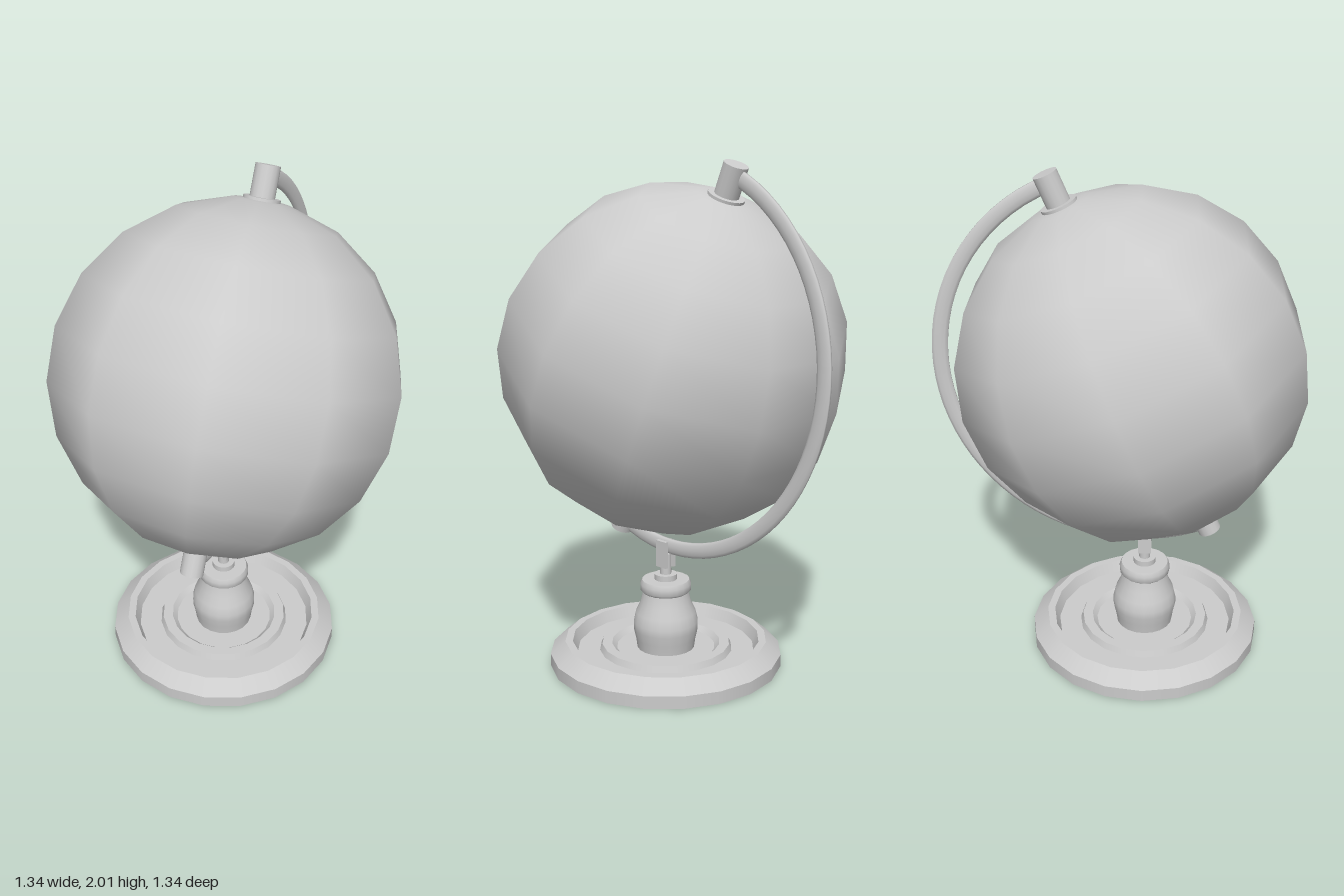
import * as THREE from 'three';

const mat = new THREE.MeshStandardMaterial({ color: 0xcccccc });
const rad = THREE.MathUtils.degToRad;

function add(parent, name, geometry, x = 0, y = 0, z = 0) {
  const mesh = new THREE.Mesh(geometry, mat);
  mesh.name = name;
  mesh.position.set(x, y, z);
  parent.add(mesh);
  return mesh;
}

// Lathe with crisp edges: each [r, y] run is smooth, a new run starts a hard edge
function turned(parent, name, runs, segments) {
  const group = new THREE.Group();
  group.name = name;
  runs.forEach((run, i) => {
    const pts = run.map(([r, y]) => new THREE.Vector2(r, y));
    add(group, `${name}Section${i + 1}`, new THREE.LatheGeometry(pts, segments));
  });
  parent.add(group);
  return group;
}

// Turns a polyline into one run per straight segment
const facets = (pts) => pts.slice(1).map((p, i) => [pts[i], p]);

export function createModel() {
  const model = new THREE.Group();
  model.name = 'deskGlobe';
  const heading = rad(62), tilt = rad(23);

  // Stand: dished foot, bulbous pedestal, neck and fork
  const stand = new THREE.Group();
  stand.name = 'stand';
  stand.position.set(-0.02, 0, 0.045);
  stand.rotation.y = heading;
  model.add(stand);

  turned(stand, 'foot', facets([
    [0, 0], [0.47, 0], [0.47, 0.05], [0.41, 0.1], [0.38, 0.1], [0.36, 0.055],
    [0.27, 0.055], [0.26, 0.08], [0.22, 0.08], [0.2, 0.06], [0.1, 0.06],
  ]), 20);

  turned(stand, 'pedestal', [
    [[0.115, 0.05], [0.122, 0.1], [0.131, 0.14], [0.131, 0.17], [0.122, 0.21], [0.103, 0.25], [0.093, 0.295]],
    [[0.093, 0.295], [0.103, 0.305], [0.104, 0.33], [0.096, 0.347]],
    [[0.096, 0.347], [0.046, 0.347]],
    [[0.046, 0.347], [0.046, 0.37]],
    [[0.046, 0.37], [0, 0.37]],
  ], 20);

  add(stand, 'neck', new THREE.CylinderGeometry(0.023, 0.023, 0.09, 12), 0, 0.41, 0);
  for (const side of [-1, 1])
    add(stand, 'forkProng', new THREE.BoxGeometry(0.054, 0.11, 0.016), 0, 0.455, side * 0.02);

  // Tilted assembly: local y is the spin axis, local x points to the arm
  const tilted = new THREE.Group();
  tilted.name = 'tiltedAssembly';
  tilted.position.y = 1.248;
  tilted.rotation.set(0, heading, -tilt);
  model.add(tilted);

  // Ball with ten coarse meridians and rings every 18 degrees
  const R = 0.68;
  const profile = [new THREE.Vector2(0, -R)];
  for (let lat = -81; lat <= 81; lat += 18)
    profile.push(new THREE.Vector2(R * Math.cos(rad(lat)), R * Math.sin(rad(lat))));
  profile.push(new THREE.Vector2(0, R));
  add(tilted, 'ball', new THREE.LatheGeometry(profile, 10));

  // Pivot pins and collars at both poles
  for (const side of [-1, 1]) {
    add(tilted, 'pivotPin', new THREE.CylinderGeometry(0.047, 0.047, 0.16, 16), 0, side * 0.723, 0);
    add(tilted, 'pivotCollar', new THREE.CylinderGeometry(0.07, 0.07, 0.024, 20), 0, side * 0.673, 0);
  }

  // Half-round arm with a flattened section
  const path = [];
  for (let i = 0; i <= 24; i++) {
    const a = rad(-90 + i * 7.5);
    path.push(new THREE.Vector3(0.73 * Math.cos(a), 0.765 * Math.sin(a), 0));
  }
  const arm = new THREE.TubeGeometry(new THREE.CatmullRomCurve3(path), 40, 0.032, 10);
  arm.scale(1, 1, 0.4);
  add(tilted, 'arm', arm);

  return model;
}
